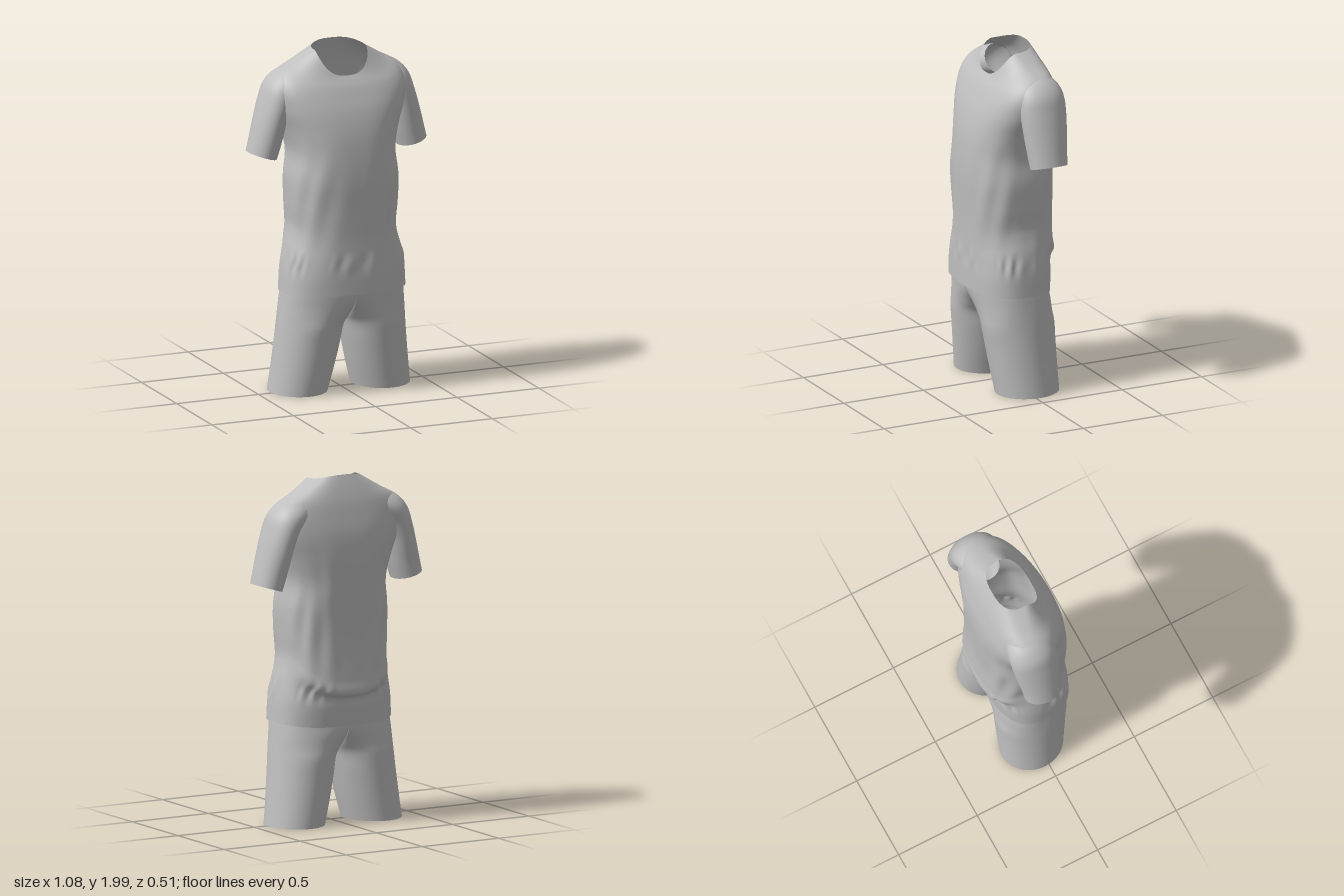
import * as THREE from 'three';
import { mergeVertices, mergeGeometries } from 'three/addons/utils/BufferGeometryUtils.js';

const { PI, cos, sin, abs, sign, exp, max } = Math;
const lerp = THREE.MathUtils.lerp;
const bell = (v, mid, width) => exp(-(((v - mid) / width) ** 2));

// Smooth skin through rings listed from bottom to top.
// ringPoint(ring, angle) gives a point; adjust(point, angle) moves the result.
function loft(rings, ringPoint, adjust = () => {}, cols = 96, perSpan = 5) {
  const rows = (rings.length - 1) * perSpan;
  const pos = [], index = [];
  for (let i = 0; i <= cols; i++) {
    const a = -PI + (2 * PI * i) / cols;
    const curve = new THREE.CatmullRomCurve3(rings.map(r => ringPoint(r, a)));
    for (let j = 0; j <= rows; j++) {
      const p = curve.getPoint(j / rows);
      adjust(p, a);
      pos.push(p.x, p.y, p.z);
      if (i < cols && j < rows) {
        const k = i * (rows + 1) + j, n = k + rows + 1;
        index.push(k, k + 1, n, k + 1, n + 1, n);
      }
    }
  }
  const g = new THREE.BufferGeometry();
  g.setAttribute('position', new THREE.Float32BufferAttribute(pos, 3));
  g.setIndex(index);
  return g;
}

// Copy on the other side of x = 0, with the corner order reversed
function mirrored(g) {
  const m = g.clone().scale(-1, 1, 1);
  m.setIndex([...g.index.array].reverse());
  return m;
}

function smooth(g) {
  const s = mergeVertices(g, 1e-4);
  s.computeVertexNormals();
  return s;
}

// Rounded-box outline with separate front, side and back points
function bodyPoint([fz, fy, sx, sy, sz, bz, by], a) {
  const c = cos(a), s = sin(a), n = 2 / 2.7;
  return new THREE.Vector3(
    sx * sign(c) * abs(c) ** n,
    s > 0 ? lerp(sy, fy, s ** 1.3) : lerp(sy, by, s * s),
    lerp(sz, s > 0 ? fz : bz, abs(s) ** n));
}

// Shirt body: front z, y / side x, y, z / back z, y
const bodyRings = [
  [0.25, 0.6, 0.362, 0.595, 0.02, -0.207, 0.575],
  [0.25, 0.7, 0.353, 0.73, 0.02, -0.215, 0.68],
  [0.248, 0.79, 0.332, 0.85, 0.01, -0.218, 0.735],
  [0.246, 0.86, 0.315, 0.92, 0, -0.25, 0.765],
  [0.246, 0.94, 0.306, 0.985, -0.005, -0.245, 0.84],
  [0.25, 1.1, 0.314, 1.1, 0, -0.235, 1.03],
  [0.255, 1.25, 0.318, 1.25, 0, -0.238, 1.25],
  [0.25, 1.4, 0.305, 1.4, -0.01, -0.243, 1.4],
  [0.235, 1.53, 0.335, 1.53, -0.04, -0.245, 1.55],
  [0.205, 1.65, 0.385, 1.67, -0.06, -0.235, 1.68],
  [0.172, 1.73, 0.4, 1.78, -0.065, -0.215, 1.78],
  [0.148, 1.78, 0.365, 1.85, -0.065, -0.195, 1.86],
  [0.128, 1.812, 0.265, 1.91, -0.045, -0.168, 1.935],
  [0.108, 1.84, 0.155, 1.977, -0.01, -0.14, 2.0],
];

// Waist pleats and soft hanging folds
function foldCloth(p, a) {
  const pleat = 0.006 * bell(p.y, 0.78, 0.045) * sin(24 * a) * max(0, 0.4 + 0.6 * sin(5 * a));
  const back = a < 0 ? 0.004 * bell(p.y, 1.2, 0.3) * sin(14 * a) * sin(a) ** 2 : 0;
  const side = 0.004 * bell(p.y, 1.15, 0.25) * sin(10 * a + 9 * p.y) * abs(sin(2 * a));
  const k = 1 + (pleat + back + side) / 0.28;
  p.x *= k;
  p.z *= k;
}

// Sleeve: outer x, y / inner x, y / front z, back z
const sleeveRings = [
  [0.54, 1.41, 0.375, 1.36, 0.05, -0.17],
  [0.518, 1.5, 0.35, 1.44, 0.058, -0.178],
  [0.492, 1.6, 0.33, 1.52, 0.066, -0.19],
  [0.463, 1.7, 0.31, 1.6, 0.071, -0.2],
  [0.43, 1.79, 0.28, 1.67, 0.071, -0.205],
  [0.38, 1.846, 0.25, 1.71, 0.065, -0.203],
  [0.31, 1.884, 0.2, 1.74, 0.045, -0.185],
  [0.24, 1.91, 0.15, 1.76, 0.01, -0.15],
];
function sleevePoint([ox, oy, ix, iy, f, b], a) {
  const t = (1 + cos(a)) / 2;
  return new THREE.Vector3(lerp(ix, ox, t), lerp(iy, oy, t), (f + b) / 2 + ((f - b) / 2) * sin(a));
}

// Shorts leg: y, outer x, inner x, front z, back z, leg roundness (0 = half pelvis)
const legRings = [
  [0.01, 0.42, 0.085, 0.16, -0.21, 1],
  [0.15, 0.402, 0.05, 0.18, -0.21, 1],
  [0.3, 0.385, 0.018, 0.2, -0.21, 1],
  [0.4, 0.375, 0, 0.213, -0.21, 1],
  [0.46, 0.368, 0, 0.222, -0.21, 0.5],
  [0.53, 0.36, 0, 0.23, -0.21, 0.12],
  [0.6, 0.352, 0, 0.235, -0.203, 0],
  [0.68, 0.338, 0, 0.235, -0.2, 0],
];
function legPoint([y, ox, ix, f, b, w], a) {
  const t = (1 + cos(a)) / 2, n = 2.6;
  const pelvis = sign(a) * (1 - t ** n) ** (1 / n);
  return new THREE.Vector3(lerp(ix, ox, t), y, (f + b) / 2 + ((f - b) / 2) * lerp(pelvis, sin(a), w));
}

export function createModel() {
  const cloth = new THREE.MeshStandardMaterial({ color: 0xbfbfbf, side: THREE.DoubleSide });
  cloth.name = 'grey cloth';
  const model = new THREE.Group();
  model.name = 'shirtAndShorts';
  const add = (name, geometry) => {
    const mesh = new THREE.Mesh(smooth(geometry), cloth);
    mesh.name = name;
    model.add(mesh);
  };

  add('shirtBody', loft(bodyRings, bodyPoint, foldCloth, 192, 6));

  const sleeve = loft(sleeveRings, sleevePoint, undefined, 64);
  add('leftSleeve', sleeve);
  add('rightSleeve', mirrored(sleeve));

  // Both legs share the seam on x = 0
  const leg = loft(legRings, legPoint, p => { p.x = max(p.x, 0); });
  add('shorts', mergeGeometries([leg, mirrored(leg)]));
  return model;
}
